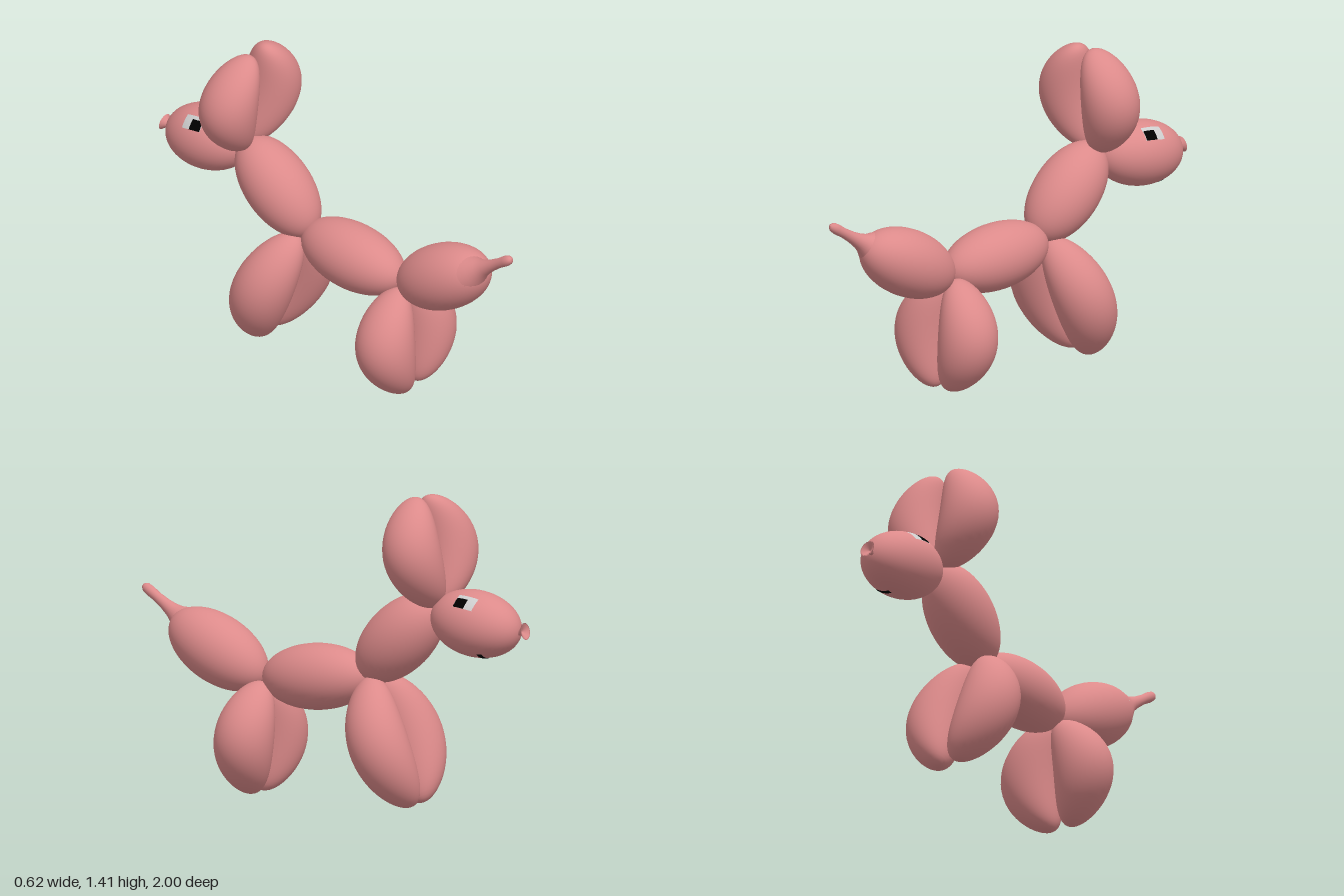
import * as THREE from 'three';
import { mergeVertices } from 'three/addons/utils/BufferGeometryUtils.js';

const V = (p) => new THREE.Vector3(...p);
const UP = new THREE.Vector3(0, 1, 0);

export function createModel() {
  const model = new THREE.Group();
  model.name = 'balloonDog';

  const balloon = new THREE.MeshStandardMaterial({ color: 0xdc8a8a });
  balloon.name = 'pink balloon';
  const white = new THREE.MeshStandardMaterial({ color: 0xcccccc });
  white.name = 'eye white';
  const black = new THREE.MeshStandardMaterial({ color: 0x000000 });
  black.name = 'black';

  function add(parent, name, geometry, material) {
    const mesh = new THREE.Mesh(geometry, material);
    mesh.name = name;
    parent.add(mesh);
    return mesh;
  }

  // Inflated segment between two tips, bowed sideways in x by bulge
  function bubble(name, from, to, radius, bulge = 0) {
    const a = V(from), b = V(to);
    const mid = a.clone().add(b).multiplyScalar(0.5);
    const half = a.distanceTo(b) / 2;
    const turn = new THREE.Quaternion().setFromUnitVectors(UP, b.clone().sub(a).normalize());
    let g = new THREE.SphereGeometry(1, 40, 28);
    g.deleteAttribute('uv');
    g.deleteAttribute('normal');
    const pos = g.attributes.position, p = new THREE.Vector3();
    for (let i = 0; i < pos.count; i++) {
      p.fromBufferAttribute(pos, i);
      const t = p.y;
      p.set(p.x * radius, t * half, p.z * radius).applyQuaternion(turn).add(mid);
      p.x += bulge * (1 - t * t);
      pos.setXYZ(i, p.x, p.y, p.z);
    }
    g = mergeVertices(g, 1e-5);
    g.computeVertexNormals();
    return add(model, name, g, balloon);
  }

  // Turned piece from one point to another; profile is [radius, fraction of length]
  function turned(name, from, to, profile) {
    const a = V(from), dir = V(to).sub(a), length = dir.length();
    const g = new THREE.LatheGeometry(profile.map(([r, t]) => new THREE.Vector2(r, t * length)), 24);
    const mesh = add(model, name, g, balloon);
    mesh.position.copy(a);
    mesh.quaternion.setFromUnitVectors(UP, dir.normalize());
    return mesh;
  }

  // Trunk segments
  bubble('body', [0.015, 0.525, 0.345], [0.01, 0.58, -0.205], 0.148);
  bubble('neck', [0, 0.585, -0.165], [-0.025, 0.945, -0.53], 0.15);
  bubble('rump', [0.03, 0.51, 0.345], [0.035, 0.74, 0.815], 0.15);

  // Uninflated tail end
  turned('tail', [0.015, 0.715, 0.75], [0.008, 0.867, 0.993], [
    [0.085, 0], [0.066, 0.13], [0.046, 0.24], [0.034, 0.36], [0.026, 0.52],
    [0.022, 0.7], [0.024, 0.85], [0.021, 0.94], [0.012, 0.985], [0, 1],
  ]);

  // Ears and legs, in pairs that bow outwards
  bubble('rightEar', [-0.07, 0.92, -0.53], [-0.09, 1.405, -0.455], 0.13, -0.1);
  bubble('leftEar', [0.0, 0.92, -0.535], [0.05, 1.413, -0.455], 0.13, 0.09);
  bubble('rightForeleg', [-0.06, 0.586, -0.205], [-0.06, 0.03, -0.44], 0.135, -0.09);
  bubble('leftForeleg', [0.04, 0.586, -0.215], [0.05, 0.026, -0.446], 0.135, 0.09);
  bubble('rightHindLeg', [-0.015, 0.502, 0.345], [-0.035, 0.004, 0.385], 0.133, -0.09);
  bubble('leftHindLeg', [0.08, 0.515, 0.33], [0.095, 0.01, 0.375], 0.133, 0.088);

  // Head, with its long axis on local y and its crown on local z
  const head = new THREE.Group();
  head.name = 'head';
  head.position.set(-0.01, 0.87, -0.75);
  head.rotation.x = -Math.PI / 2 - 0.12;
  head.scale.set(0.148, 0.222, 0.148);
  model.add(head);
  add(head, 'headBalloon', new THREE.SphereGeometry(1, 48, 32), balloon);

  // Painted patch: degrees from the crown towards +x, and a range along the head
  function patch(name, deg0, deg1, y0, y1, lift, material) {
    const rad = Math.PI / 180;
    const top = Math.acos(y1);
    add(head, name, new THREE.SphereGeometry(lift, 8, 8,
      Math.PI / 2 + deg0 * rad, (deg1 - deg0) * rad, top, Math.acos(y0) - top), material);
  }
  patch('leftEyeWhite', 28, 55, -0.26, 0.19, 1.008, white);
  patch('leftPupil', 36, 55, -0.25, 0.0, 1.016, black);
  patch('rightEyeWhite', -57, -31, -0.26, 0.19, 1.008, white);
  patch('rightPupil', -57, -38, -0.25, 0.0, 1.016, black);
  patch('mouth', 142, 175, 0.32, 0.42, 1.01, black);

  // Flared, hollow knot on the nose
  turned('noseKnot', [-0.02, 0.848, -0.95], [-0.022, 0.858, -1.0], [
    [0.024, 0], [0.013, 0.35], [0.016, 0.6], [0.038, 1], [0.033, 1], [0.014, 0.75], [0, 0.6],
  ]);

  return model;
}
